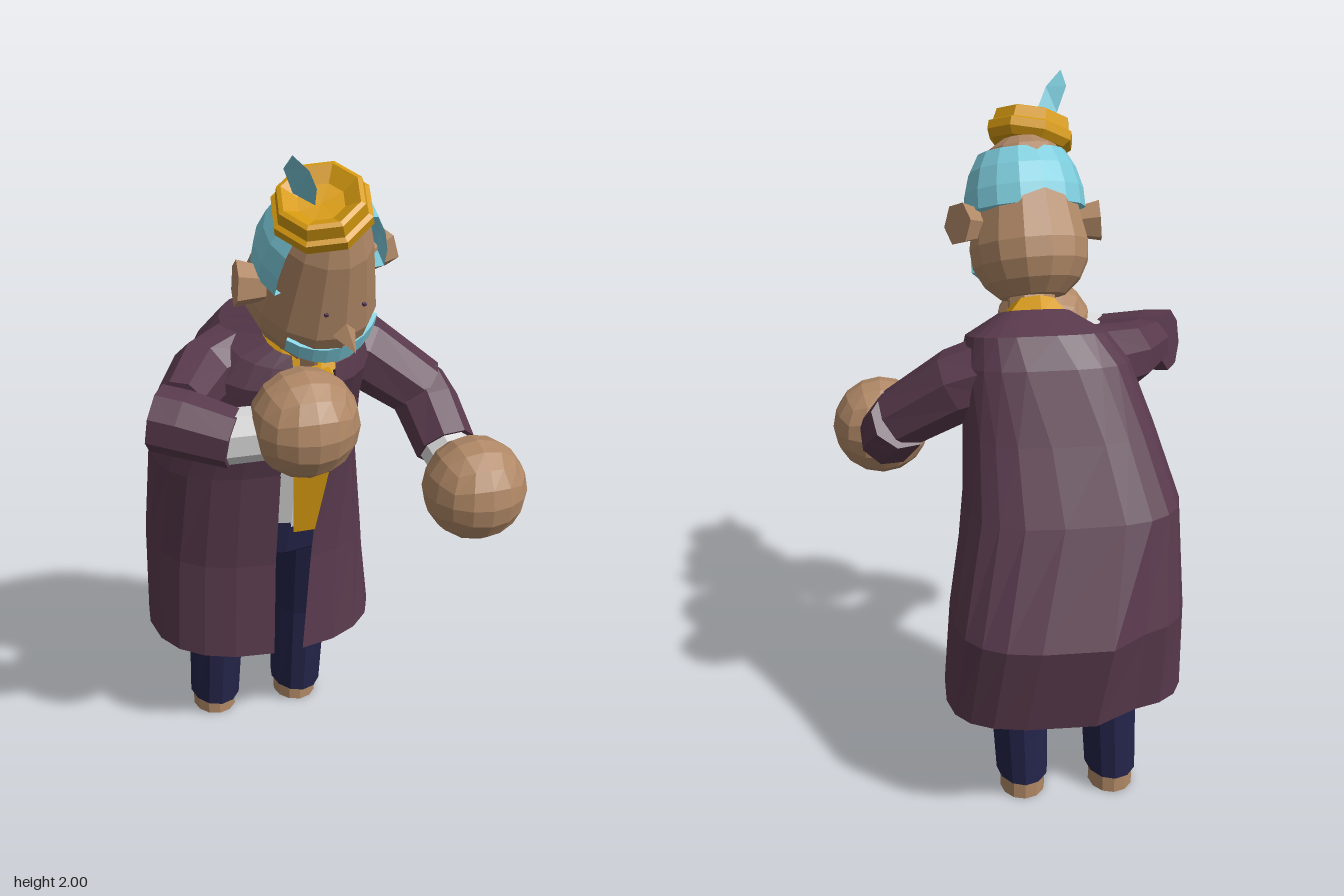
import * as THREE from 'three';

const mat = (name, color) => {
  const m = new THREE.MeshStandardMaterial({ color, flatShading: true, side: THREE.DoubleSide });
  m.name = name;
  return m;
};

// Skin a stack of point rows into a surface, optionally closed around and capped
function skin(rows, closed = true) {
  const pos = [], tri = (a, b, c) => pos.push(...a, ...b, ...c);
  const n = rows[0].length;
  const last = closed ? n : n - 1;
  for (let i = 0; i < rows.length - 1; i++) {
    for (let j = 0; j < last; j++) {
      const k = (j + 1) % n;
      tri(rows[i][j], rows[i][k], rows[i + 1][k]);
      tri(rows[i][j], rows[i + 1][k], rows[i + 1][j]);
    }
  }
  if (closed) {
    [rows[0], rows[rows.length - 1]].forEach((r, end) => {
      const c = [0, 1, 2].map(d => r.reduce((s, p) => s + p[d], 0) / n);
      for (let j = 0; j < n; j++) {
        const k = (j + 1) % n;
        if (end) tri(c, r[j], r[k]); else tri(c, r[k], r[j]);
      }
    });
  }
  const g = new THREE.BufferGeometry();
  g.setAttribute('position', new THREE.Float32BufferAttribute(pos, 3));
  g.computeVertexNormals();
  return g;
}

// Horizontal rounded ring, squareness set for front and back;
// an opening at the front runs from openL to openR
function ring([y, xl, xr, zb, zf, tilt = 0, openL, openR], n, pFront = 0.8, pBack = pFront) {
  const cx = (xl + xr) / 2, hw = (xr - xl) / 2, cz = (zb + zf) / 2, hd = (zf - zb) / 2;
  const pw = (v, e) => Math.sign(v) * Math.abs(v) ** e;
  const open = openL !== undefined;
  const ang = x => Math.asin(Math.max(-1, Math.min(1, pw((x - cx) / hw, 1 / pFront))));
  const a0 = open ? ang(openR) : 0;
  const a1 = open ? Math.PI * 2 + ang(openL) : Math.PI * 2;
  return Array.from({ length: open ? n + 1 : n }, (_, i) => {
    const a = a0 + (a1 - a0) * i / n, p = Math.cos(a) > 0 ? pFront : pBack;
    const dz = hd * pw(Math.cos(a), p);
    return [cx + hw * pw(Math.sin(a), p), y + tilt * dz, cz + dz];
  });
}

// Bent tube through points [x, y, z, radius]
function limb(points, n = 8) {
  const P = points.map(p => new THREE.Vector3(p[0], p[1], p[2]));
  return skin(P.map((c, i) => {
    const t = P[Math.min(i + 1, P.length - 1)].clone().sub(P[Math.max(i - 1, 0)]).normalize();
    const u = new THREE.Vector3(0, 1, 0.01).cross(t).normalize();
    const v = t.clone().cross(u);
    return Array.from({ length: n }, (_, j) => {
      const a = (j + 0.5) / n * Math.PI * 2, r = points[i][3];
      return c.clone().addScaledVector(u, r * Math.cos(a)).addScaledVector(v, r * Math.sin(a)).toArray();
    });
  }));
}

// Ball made of a gridded cube pushed out to a sphere
function ball(radius) {
  const g = new THREE.BoxGeometry(2, 2, 2, 4, 4, 4), p = g.attributes.position;
  const v = new THREE.Vector3();
  for (let i = 0; i < p.count; i++) {
    v.fromBufferAttribute(p, i);
    v.set(...v.toArray().map(c => Math.tan(c * Math.PI / 4))).setLength(radius);
    p.setXYZ(i, v.x, v.y, v.z);
  }
  g.computeVertexNormals();
  return g;
}

const lathe = (profile, n, start = 0, len = Math.PI * 2) =>
  new THREE.LatheGeometry(profile.map(p => new THREE.Vector2(p[0], p[1])), n, start, len);

export function createModel() {
  const root = new THREE.Group();
  const skinTone = mat('skin', 0xb08866), coat = mat('plum cloth', 0x593a4d);
  const blue = mat('pale blue hair', 0x7ccbdb), gold = mat('gold', 0xd69a10);
  const navy = mat('navy cloth', 0x24244a), white = mat('white cloth', 0xdcdcdc);
  const dark = mat('dark eye', 0x4a2c50);
  const add = (parent, name, geo, m, x = 0, y = 0, z = 0) => {
    const o = new THREE.Mesh(geo, m);
    o.name = name;
    o.position.set(x, y, z);
    parent.add(o);
    return o;
  };

  // Open long coat, with a fold pressed into the right side of the back hem
  const coatRings = [
    [0.35, -0.46, 0.235, -0.465, 0.06, -0.07, -0.13, -0.04],
    [0.64, -0.45, 0.215, -0.51, 0.05, 0, -0.12, -0.01],
    [0.95, -0.435, 0.17, -0.38, 0.08, 0, -0.11, 0.015],
    [1.15, -0.37, 0.16, -0.29, 0.14, 0, -0.105, 0.03],
    [1.30, -0.31, 0.16, -0.21, 0.19, -0.2, -0.1, 0.02],
    [1.37, -0.25, 0.14, -0.16, 0.18, -0.3, -0.1, 0.02],
    [1.40, -0.16, 0.05, -0.02, 0.17, -0.5, -0.1, 0],
  ].map((r, i) => ring(r, 20, 0.85, 0.64).map(([x, y, z]) =>
    [x, y, i < 2 && x < -0.24 && z < -0.28 ? z + 0.06 : z]));
  add(root, 'coat', skin(coatRings, false), coat);

  // Shirt, hips, collar and tie
  add(root, 'shirt', skin([
    [0.75, -0.2, 0.06, -0.25, 0.04], [1.1, -0.22, 0.08, -0.2, 0.125], [1.27, -0.15, 0.04, 0, 0.16],
  ].map(r => ring(r, 12))), white);
  add(root, 'hips', skin([
    [0.61, -0.2, 0.06, -0.24, -0.05], [0.66, -0.23, 0.07, -0.28, 0.025], [0.77, -0.21, 0.06, -0.25, 0.045],
  ].map(r => ring(r, 12))), navy);
  add(root, 'collar', skin([
    [1.36, -0.18, 0.06, -0.03, 0.19, -0.72, -0.08, -0.03],
    [1.415, -0.125, 0.005, 0.015, 0.17, -0.8, -0.08, -0.03],
  ].map(r => ring(r, 8)), false), gold);
  add(root, 'tie', skin([
    [0.77, -0.08, -0.015, 0.1], [1.13, -0.1, 0.035, 0.175], [1.25, -0.07, 0.01, 0.2],
  ].map(([y, a, b, z]) => [[a, y, z], [b, y, z]]), false), gold);
  add(root, 'tieKnot', new THREE.CylinderGeometry(0.05, 0.03, 0.08, 6), gold, -0.04, 1.27, 0.19);
  add(root, 'neck', limb([[-0.06, 1.32, 0.08, 0.07], [-0.06, 1.48, 0.17, 0.07]]), skinTone);

  // Legs and feet: bottom, knee and top centres
  [['rightLeg', -0.262, -0.25, -0.16], ['leftLeg', 0.006, 0.017, 0.01]].forEach(([name, a, b, c]) => {
    add(root, name, skin([
      [0.06, a - 0.077, a + 0.077, -0.305, -0.095],
      [0.36, b - 0.085, b + 0.085, -0.3, -0.08],
      [0.7, c - 0.085, c + 0.085, -0.24, -0.01],
    ].map(r => ring(r, 12, 1))), navy);
    add(root, name + 'Foot', skin([
      [0, a - 0.067, a + 0.067, -0.29, -0.13], [0.08, a - 0.067, a + 0.067, -0.29, -0.13],
    ].map(r => ring(r, 12, 1))), skinTone);
  });

  // Arms, cuffs and ball hands
  const arms = {
    left: {
      upper: [[0.06, 1.29, -0.07, 0.11], [0.17, 1.25, -0.055, 0.105], [0.335, 1.13, 0.005, 0.09]],
      fore: [[0.325, 1.14, -0.02, 0.09], [0.345, 1.09, 0.04, 0.092], [0.36, 1.01, 0.15, 0.087]],
      cuff: [[0.355, 1.02, 0.13, 0.075], [0.368, 0.98, 0.24, 0.07]], hand: [0.376, 0.97, 0.333],
    },
    right: {
      upper: [[-0.18, 1.29, -0.04, 0.11], [-0.32, 1.28, 0.04, 0.092], [-0.41, 1.26, 0.18, 0.072]],
      fore: [[-0.485, 1.25, 0.218, 0.09], [-0.42, 1.24, 0.255, 0.09], [-0.3, 1.215, 0.33, 0.08]],
      cuff: [[-0.33, 1.215, 0.31, 0.074], [-0.21, 1.235, 0.355, 0.072]], hand: [-0.125, 1.257, 0.368],
    },
  };
  for (const [side, a] of Object.entries(arms)) {
    add(root, side + 'UpperSleeve', limb(a.upper), coat);
    add(root, side + 'ForeSleeve', limb(a.fore), coat);
    add(root, side + 'Cuff', limb(a.cuff), white);
    add(root, side + 'Hand', ball(0.146), skinTone, ...a.hand);
  }

  // Head group: turned, bowed and slightly leaning
  const head = new THREE.Group();
  head.name = 'head';
  head.position.set(-0.06, 1.43, 0.16);
  head.rotation.set(0.44, 0.25, 0.08, 'YXZ');
  root.add(head);
  const skull = add(head, 'skull', lathe([
    [0, -0.01], [0.1, -0.01], [0.148, 0.03], [0.176, 0.08], [0.182, 0.135], [0.162, 0.23],
    [0.138, 0.34], [0.108, 0.41], [0.06, 0.44], [0, 0.445],
  ], 14), skinTone, 0, 0, -0.02);
  skull.scale.set(0.93, 1, 1.06);

  // Hair band around the back, moustache around the front
  const hair = add(head, 'hair', lathe([
    [0.14, 0.225], [0.17, 0.235], [0.168, 0.29], [0.152, 0.35], [0.125, 0.4], [0.1, 0.4],
  ], 10, Math.PI * 0.37, Math.PI * 1.26), blue, 0, 0, -0.01);
  hair.scale.set(1.02, 1, 1.02);
  add(head, 'moustache', skin([-4, -3, -2, -1, 0, 1, 2, 3, 4].map(i => {
    const a = i * 0.2, s = 0.026 - Math.abs(i) * 0.002, y = 0.07 + i * i * 0.0018;
    return [[0.15, -s], [0.15, s], [0.188, s], [0.188, -s]].map(([r, h]) =>
      [r * Math.sin(a), y + h, r * Math.cos(a) - 0.02]);
  })), blue);

  // Nose, eyes and ears
  const nose = add(head, 'nose', new THREE.ConeGeometry(0.058, 0.12, 4), skinTone, 0, 0.145, 0.17);
  nose.rotation.x = Math.PI / 2 + 0.12;
  for (const s of [-1, 1]) {
    add(head, s > 0 ? 'leftEye' : 'rightEye', new THREE.BoxGeometry(0.009, 0.007, 0.008), dark, s * 0.055, 0.215, 0.146);
    const ear = add(head, s > 0 ? 'leftEar' : 'rightEar',
      new THREE.CylinderGeometry(0.062, 0.045, 0.075, 6), skinTone, s * 0.18, 0.2, -0.03);
    ear.rotation.set(0, s * 0.35, -s * Math.PI / 2);
  }

  // Small octagonal hat with a sunken crown
  const hat = add(head, 'hat', lathe([
    [0, -0.04], [0.11, -0.04], [0.13, -0.02], [0.13, 0.005], [0.118, 0.012], [0.112, 0.045],
    [0.1, 0.05], [0.06, 0.022], [0, 0.018],
  ], 8), gold, -0.05, 0.47, 0.028);
  hat.rotation.z = 0.25;

  // Flat feather
  const feather = [[-0.11, 1.85, 0.41], [-0.115, 1.90, 0.44], [-0.143, 1.955, 0.472], [-0.188, 2, 0.487], [-0.2, 1.96, 0.452], [-0.17, 1.89, 0.425]];
  const g = new THREE.BufferGeometry();
  g.setAttribute('position', new THREE.Float32BufferAttribute(feather.flat(), 3));
  g.setIndex([0, 1, 5, 1, 2, 5, 2, 4, 5, 2, 3, 4]);
  g.computeVertexNormals();
  add(root, 'feather', g, blue);

  return root;
}
